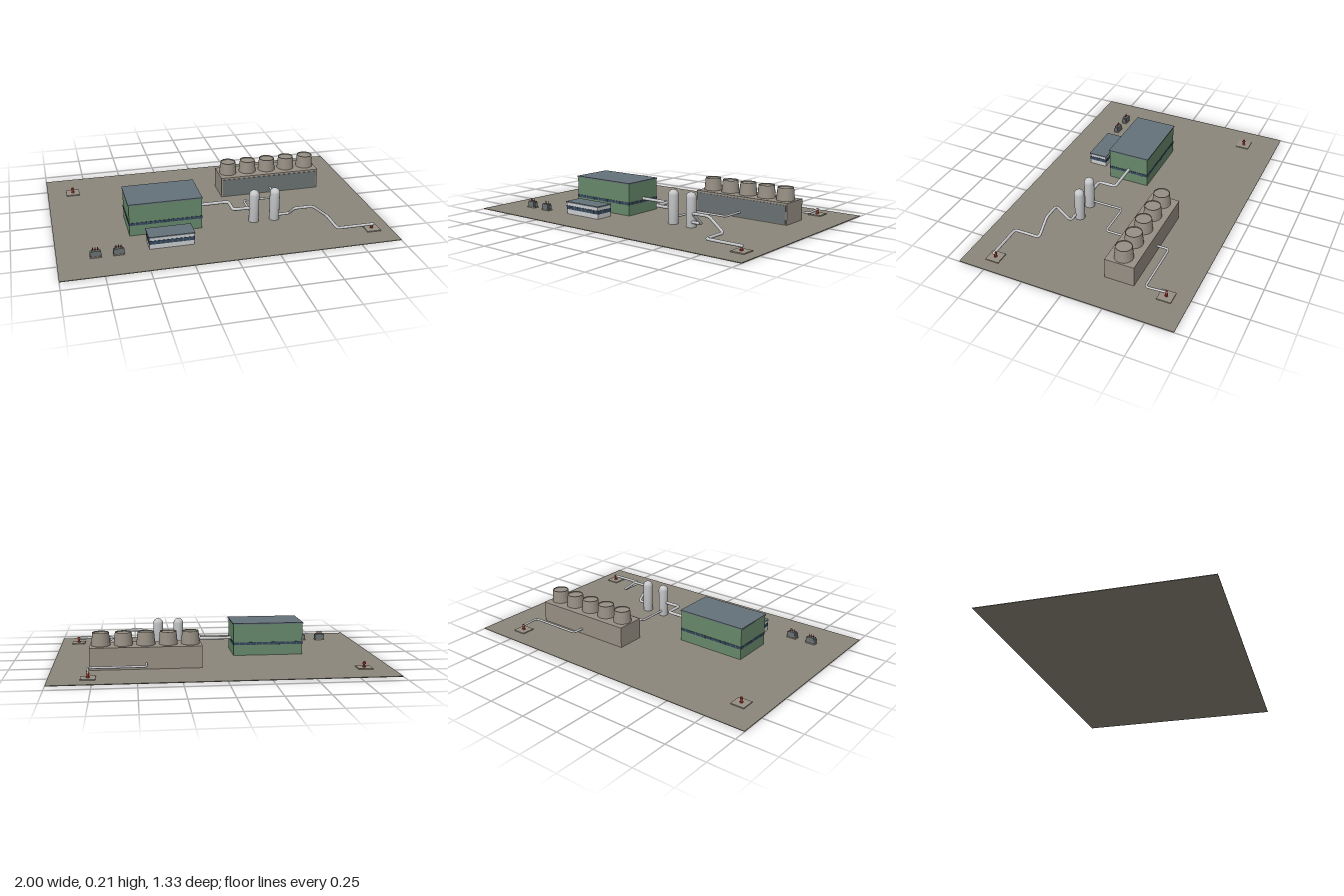
import * as THREE from 'three';

const mat = (name, color) => {
  const m = new THREE.MeshStandardMaterial({ color });
  m.name = name;
  return m;
};

export function createModel() {
  const root = new THREE.Group();
  root.name = 'powerPlant';
  const M = {
    ground: mat('ground', 0x8c867a),
    concrete: mat('concrete', 0x968f84),
    green: mat('greenCladding', 0x66886a),
    roof: mat('roofSlate', 0x65727a),
    wall: mat('paleWall', 0xc9cccd),
    glass: mat('darkGlass', 0x34465a),
    pipe: mat('pipeMetal', 0xc6c7c9),
    louver: mat('louver', 0x6a7172),
    red: mat('redPaint', 0xa8382b),
  };
  const G = 0.004; // top of the ground slab

  const add = (parent, name, geo, material, x = 0, y = 0, z = 0) => {
    const m = new THREE.Mesh(geo, material);
    m.name = name;
    m.position.set(x, y, z);
    parent.add(m);
    return m;
  };
  // Box standing on y0
  const box = (parent, name, material, w, h, d, x, y0, z) =>
    add(parent, name, new THREE.BoxGeometry(w, h, d), material, x, y0 + h / 2, z);
  const cyl = (parent, name, material, rt, rb, h, x, y0, z, n = 16) =>
    add(parent, name, new THREE.CylinderGeometry(rt, rb, h, n), material, x, y0 + h / 2, z);
  const group = (name, x = 0, y = 0, z = 0) => {
    const g = new THREE.Group();
    g.name = name;
    g.position.set(x, y, z);
    root.add(g);
    return g;
  };

  box(root, 'ground', M.ground, 2, G, 1.333, 0, 0, 0);

  // Flat-roofed hall with a window band around it
  const building = (name, wallMat, x, z, w, h, d, bandY, bandH, panes) => {
    const g = group(name, x, G, z);
    const t = 0.008, lip = 0.008;
    box(g, 'walls', wallMat, w, h - t, d, 0, 0, 0);
    box(g, 'roof', M.roof, w + lip, t, d + lip, 0, h - t, 0);
    box(g, 'windowBand', M.glass, w + 0.004, bandH, d + 0.004, 0, bandY, 0);
    // Mullions dividing the band
    for (let i = 1; i < panes; i++) {
      box(g, 'mullion', M.roof, 0.003, bandH, d + 0.006, -w / 2 + (i * w) / panes, bandY, 0);
    }
    const sidePanes = Math.round((panes * d) / w);
    for (let i = 1; i < sidePanes; i++) {
      box(g, 'mullion', M.roof, w + 0.006, bandH, 0.003, 0, bandY, -d / 2 + (i * d) / sidePanes);
    }
  };
  building('turbineHall', M.green, -0.335, 0.11, 0.442, 0.206, 0.265, 0.067, 0.017, 12);
  building('controlBuilding', M.wall, -0.335, 0.375, 0.266, 0.079, 0.112, 0.03, 0.023, 8);

  // Cooling tower with five fan stacks
  const tower = group('coolingTower', 0.443, G, -0.245);
  box(tower, 'towerBody', M.concrete, 0.662, 0.132, 0.18, 0, 0, 0);
  box(tower, 'louverPanel', M.louver, 0.645, 0.115, 0.006, 0, 0.004, 0.09);
  const stackProfile = [[0, 0], [0.056, 0], [0.056, 0.006], [0.049, 0.078], [0.046, 0.078], [0.046, 0.072], [0, 0.072]];
  const stackGeo = new THREE.LatheGeometry(stackProfile.map(p => new THREE.Vector2(...p)), 24).toNonIndexed();
  // Sharp edges between the profile bands
  stackGeo.computeVertexNormals();
  for (let i = -2; i <= 2; i++) add(tower, 'fanStack', stackGeo, M.concrete, i * 0.133, 0.132, 0);

  // Two domed separator vessels
  const vesselPts = [new THREE.Vector2(0, 0), new THREE.Vector2(0.031, 0)];
  for (let i = 0; i <= 8; i++) {
    const a = (i / 8) * Math.PI / 2;
    vesselPts.push(new THREE.Vector2(0.031 * Math.cos(a), 0.177 + 0.031 * Math.sin(a)));
  }
  for (const x of [0.22, 0.352]) {
    add(root, 'separatorVessel', new THREE.LatheGeometry(vesselPts, 24), M.pipe, x, G, 0.222);
  }

  // Pipe following straight runs joined by rounded bends
  const pipe = (name, r, pts) => {
    const v = pts.map(p => new THREE.Vector3(...p));
    const path = new THREE.CurvePath();
    let from = v[0];
    for (let i = 1; i < v.length - 1; i++) {
      const bend = (q) => v[i].clone().add(q.clone().sub(v[i]).setLength(0.022));
      const a = bend(v[i - 1]), b = bend(v[i + 1]);
      path.add(new THREE.LineCurve3(from, a));
      path.add(new THREE.QuadraticBezierCurve3(a, v[i], b));
      from = b;
    }
    path.add(new THREE.LineCurve3(from, v[v.length - 1]));
    add(root, name, new THREE.TubeGeometry(path, 140, r, 10), M.pipe);
    // End caps
    for (const p of [v[0], v[v.length - 1]]) {
      add(root, name + 'End', new THREE.SphereGeometry(r, 10, 8), M.pipe, p.x, p.y, p.z);
    }
  };
  pipe('steamPipe', 0.01, [[-0.12, 0.095, 0.108], [0.087, 0.095, 0.108], [0.087, 0.095, 0.222], [0.21, 0.095, 0.222]]);
  pipe('condensatePipe', 0.007, [[0.216, 0.038, 0.21], [0.216, 0.038, 0], [0.443, 0.038, 0], [0.443, 0.038, -0.16]]);
  pipe('reinjectionPipe', 0.007, [[0.443, 0.037, -0.33], [0.443, 0.037, -0.407], [0.785, 0.037, -0.407], [0.775, 0.037, -0.532]]);
  pipe('wellPipe', 0.009, [[0.36, 0.037, 0.238], [0.443, 0.037, 0.238], [0.443, 0.116, 0.333], [0.56, 0.116, 0.333],
    [0.66, 0.037, 0.333], [0.66, 0.037, 0.498], [0.89, 0.037, 0.498]]);

  // Wellheads on concrete pads
  for (const [x, z] of [[0.885, 0.493], [0.775, -0.53], [-0.837, -0.445]]) {
    const g = group('wellhead', x, G, z);
    box(g, 'pad', M.concrete, 0.085, 0.006, 0.085, 0, 0, 0);
    cyl(g, 'wellBase', M.red, 0.01, 0.01, 0.006, 0, 0.006, 0);
    cyl(g, 'wellStem', M.red, 0.006, 0.006, 0.034, 0, 0.006, 0);
    cyl(g, 'wellValve', M.red, 0.009, 0.009, 0.008, 0, 0.025, 0);
  }

  // Transformers with radiators and bushings
  for (const x of [-0.78, -0.647]) {
    const g = group('transformer', x, G, 0.44);
    box(g, 'pad', M.concrete, 0.066, 0.005, 0.036, 0, 0, 0);
    box(g, 'tank', M.louver, 0.046, 0.036, 0.03, 0, 0.005, 0);
    for (const s of [-1, 1]) box(g, 'radiator', M.louver, 0.009, 0.026, 0.024, s * 0.0275, 0.009, 0);
    for (const i of [-1, 0, 1]) cyl(g, 'bushing', M.red, 0.0022, 0.003, 0.018, i * 0.014, 0.041, 0, 8);
  }

  return root;
}
